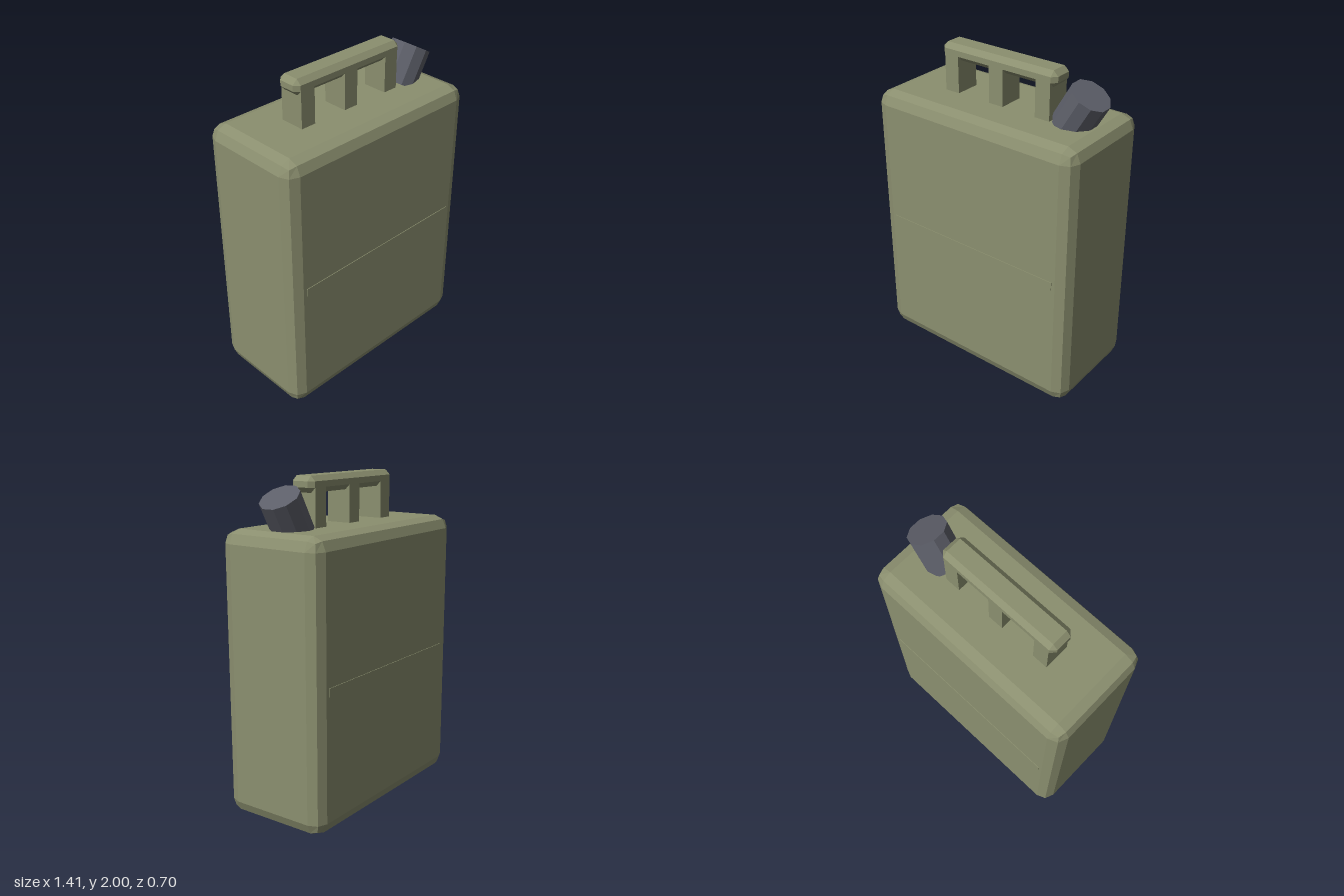
import * as THREE from 'three';
import { RoundedBoxGeometry } from 'three/addons/geometries/RoundedBoxGeometry.js';
import { ConvexGeometry } from 'three/addons/geometries/ConvexGeometry.js';

const olive = new THREE.MeshStandardMaterial({ color: 0x8b8f6f, flatShading: true });
const darkGrey = new THREE.MeshStandardMaterial({ color: 0x5c5e68, flatShading: true });

// Box with every edge cut by a single flat bevel
function bevelledBox(w, h, d, b) {
  const points = [];
  const [x, y, z] = [w / 2, h / 2, d / 2];
  for (const sx of [-1, 1]) for (const sy of [-1, 1]) for (const sz of [-1, 1]) {
    points.push(
      new THREE.Vector3(sx * x, sy * (y - b), sz * (z - b)),
      new THREE.Vector3(sx * (x - b), sy * y, sz * (z - b)),
      new THREE.Vector3(sx * (x - b), sy * (y - b), sz * z)
    );
  }
  return new ConvexGeometry(points);
}

function addPart(parent, name, geometry, material, x, y, z) {
  const mesh = new THREE.Mesh(geometry, material);
  mesh.name = name;
  mesh.position.set(x, y, z);
  parent.add(mesh);
  return mesh;
}

export function createModel() {
  const model = new THREE.Group();
  model.name = 'fuelCan';

  // Tank with two-step bevelled edges
  addPart(model, 'tank', new RoundedBoxGeometry(1.415, 1.71, 0.69, 1, 0.08), olive, 0, 0.855, 0);

  // Shallow raised band on the front and back
  for (const side of [-1, 1]) {
    addPart(model, side > 0 ? 'frontBand' : 'backBand',
      new THREE.BoxGeometry(1.21, 0.05, 0.02), olive, 0, 0.855, side * 0.339);
  }

  // Carrying handle: bevelled grip on three posts
  const handle = new THREE.Group();
  handle.name = 'handle';
  addPart(handle, 'grip', bevelledBox(0.81, 0.095, 0.16, 0.03), olive, 0, 1.9525, 0);
  for (const x of [-0.325, 0, 0.325]) {
    addPart(handle, 'handlePost', new THREE.BoxGeometry(0.098, 0.29, 0.16), olive, x, 1.825, 0);
  }
  model.add(handle);

  // Tilted ten-sided cap
  const cap = addPart(model, 'cap', new THREE.CylinderGeometry(0.12, 0.12, 0.24, 10), darkGrey, 0.527, 1.79, 0);
  cap.rotation.z = -Math.PI / 6;

  return model;
}
